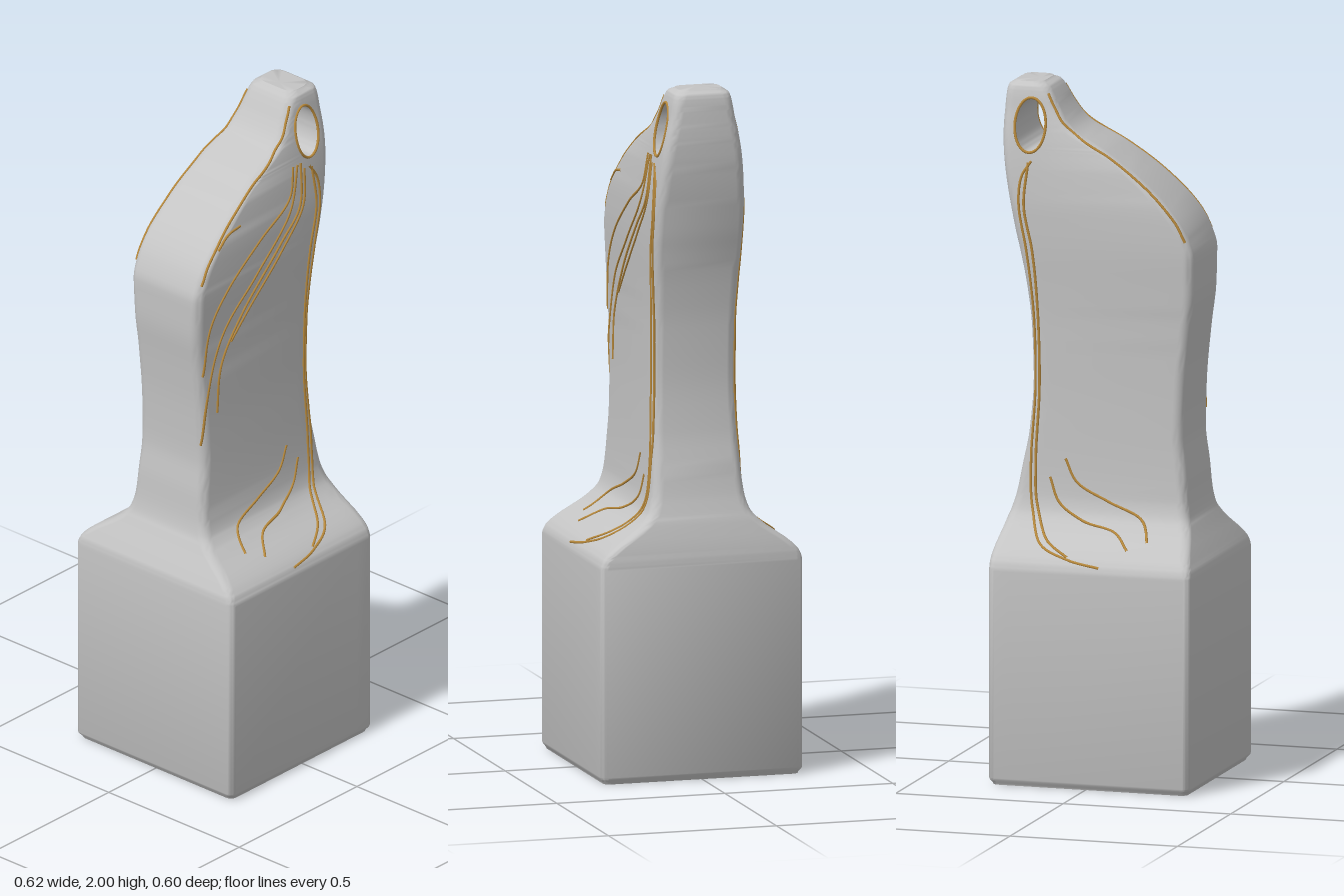
import * as THREE from 'three';
import { toCreasedNormals } from 'three/addons/utils/BufferGeometryUtils.js';

// Profile rows: y, left x, right x, half depth, corner radius
const ROWS = [
  [0, -0.30, 0.28, 0.29, 0.02], [0.02, -0.312, 0.29, 0.30, 0.02], [0.62, -0.312, 0.29, 0.30, 0.02],
  [0.645, -0.309, 0.29, 0.293, 0.022], [0.67, -0.30, 0.289, 0.272, 0.025], [0.74, -0.272, 0.281, 0.178, 0.03],
  [0.775, -0.259, 0.272, 0.15, 0.03], [0.82, -0.252, 0.26, 0.138, 0.03], [0.9, -0.246, 0.245, 0.131, 0.03],
  [1.0, -0.235, 0.226, 0.127, 0.03], [1.15, -0.24, 0.215, 0.124, 0.03], [1.3, -0.254, 0.22, 0.124, 0.03],
  [1.42, -0.267, 0.234, 0.127, 0.03], [1.52, -0.268, 0.253, 0.131, 0.03], [1.58, -0.25, 0.267, 0.132, 0.03],
  [1.635, -0.217, 0.278, 0.132, 0.03], [1.735, -0.115, 0.297, 0.126, 0.03], [1.815, 0.0, 0.307, 0.117, 0.03],
  [1.875, 0.105, 0.31, 0.106, 0.03], [1.92, 0.14, 0.309, 0.096, 0.03], [1.97, 0.168, 0.306, 0.087, 0.03],
  [1.99, 0.182, 0.301, 0.08, 0.03], [2.0, 0.2, 0.285, 0.065, 0.03],
];
const HOLE = { x: 0.224, y: 1.88, rx: 0.044, ry: 0.075 };

// Smooth interpolation of one column without overshoot
function tangent(i, c) {
  if (i === 0 || i === ROWS.length - 1) return 0;
  const s = (k) => (ROWS[k + 1][c] - ROWS[k][c]) / (ROWS[k + 1][0] - ROWS[k][0]);
  const a = s(i - 1), b = s(i);
  return a * b <= 0 ? 0 : (2 * a * b) / (a + b);
}
function profile(y) {
  let i = 0;
  while (i < ROWS.length - 2 && y > ROWS[i + 1][0]) i++;
  const h = ROWS[i + 1][0] - ROWS[i][0], t = (y - ROWS[i][0]) / h, u = 1 - t;
  const [xl, xr, hz, r] = [1, 2, 3, 4].map((c) =>
    (1 + 2 * t) * u * u * ROWS[i][c] + t * u * u * h * tangent(i, c) +
    t * t * (3 - 2 * t) * ROWS[i + 1][c] - t * t * u * h * tangent(i + 1, c));
  return { xl, xr, hz, r };
}

// Front depth of the body surface at x, y
function depthAt(x, y) {
  const { xl, xr, hz, r } = profile(y);
  const d = Math.min(r, Math.max(0, xl + r - x, x - xr + r));
  return hz - r + Math.sqrt(r * r - d * d);
}

// Section half on one side of the hole, running clockwise seen from above
function halfSection(y, side, w) {
  const { xl, xr, hz, r } = profile(y);
  const xs = Math.min(HOLE.x, xr - 0.06) + side * w;
  const edge = side < 0 ? xl + r : xr - r, pts = [[xs, -side * hz]];
  const N = 6;
  for (const corner of [0, 1]) {
    for (let k = 0; k <= N; k++) {
      const a = (corner + k / N) * Math.PI / 2;
      const zc = (corner ? side : -side) * (hz - r);
      pts.push([edge + side * r * Math.sin(a), zc - side * r * Math.cos(a)]);
    }
  }
  pts.push([xs, side * hz]);
  return pts.map(([x, z]) => [x, y, z]);
}

function bodyGeometry() {
  // Levels: dense through the curves, cosine spaced through the hole
  const levels = [];
  const lo = HOLE.y - HOLE.ry, hi = HOLE.y + HOLE.ry;
  ROWS.slice(0, -1).forEach((row, i) => {
    const n = i === 1 ? 1 : 4;
    for (let k = 0; k < n; k++) levels.push(row[0] + (ROWS[i + 1][0] - row[0]) * k / n);
  });
  levels.push(2);
  const ys = levels.filter((y) => y < lo - 0.002 || y > hi + 0.002).map((y) => ({ y, w: 0 }));
  for (let k = 0; k <= 24; k++) {
    const a = Math.PI * k / 24;
    ys.push({ y: HOLE.y - HOLE.ry * Math.cos(a), w: k % 24 ? HOLE.rx * Math.sin(a) : 0 });
  }
  ys.sort((a, b) => a.y - b.y);

  const pos = [];
  for (const side of [-1, 1]) {
    const rows = ys.map(({ y, w }) => halfSection(y, side, w));
    const open = ys.map(({ w }) => w > 0);
    // End caps close onto a centre point
    const collapse = (row) => row.map(() => [row[0][0], row[0][1], 0]);
    rows.unshift(collapse(rows[0]));
    open.unshift(false);
    rows.push(collapse(rows[rows.length - 1]));
    open.push(false);
    for (let i = 0; i < rows.length - 1; i++) {
      const n = rows[i].length, hole = open[i] || open[i + 1];
      for (let j = 0; j < (hole ? n : n - 1); j++) {
        const k = (j + 1) % n;
        const a = rows[i][j], b = rows[i][k], c = rows[i + 1][j], d = rows[i + 1][k];
        pos.push(...a, ...c, ...b, ...b, ...c, ...d);
      }
    }
  }
  const g = new THREE.BufferGeometry();
  g.setAttribute('position', new THREE.Float32BufferAttribute(pos, 3));
  return toCreasedNormals(g, 0.7);
}

// Inlaid line draped over the front (side 1) or back (side -1)
function inlay(points, side, closed = false) {
  const flat = new THREE.CatmullRomCurve3(points.map(([x, y]) => new THREE.Vector3(x, y, 0)), closed);
  const path = flat.getSpacedPoints(closed ? 48 : 60).map((p) => p.setZ(side * depthAt(p.x, p.y)));
  if (closed) path.pop();
  return new THREE.TubeGeometry(new THREE.CatmullRomCurve3(path, closed), 120, 0.004, 6, closed);
}

export function createModel() {
  const stone = new THREE.MeshStandardMaterial({ color: 0xc4c4c4 });
  stone.name = 'pale grey';
  const gold = new THREE.MeshStandardMaterial({ color: 0xb98a3c });
  gold.name = 'gold';

  const model = new THREE.Group();
  model.name = 'carvedHandle';
  const add = (name, geometry, material) => {
    const mesh = new THREE.Mesh(geometry, material);
    mesh.name = name;
    model.add(mesh);
  };
  add('body', bodyGeometry(), stone);

  // Lines on both faces
  const ridge = [1.57, 1.62, 1.68, 1.74, 1.8, 1.85, 1.89, 1.93, 1.97].map((y) => [profile(y).xl + 0.01, y]);
  const ring = Array.from({ length: 20 }, (_, i) => {
    const a = i / 20 * Math.PI * 2;
    return [HOLE.x + (HOLE.rx + 0.002) * Math.cos(a), HOLE.y + (HOLE.ry + 0.002) * Math.sin(a)];
  });
  const shared = {
    ridgeLine: ridge,
    outerStem: [[0.215, 1.78], [0.243, 1.735], [0.25, 1.655], [0.227, 1.52], [0.208, 1.34], [0.203, 1.13],
      [0.213, 0.915], [0.203, 0.78], [0.158, 0.70], [0.06, 0.662], [-0.04, 0.645]],
    innerStem: [[0.225, 1.775], [0.235, 1.65], [0.21, 1.52], [0.195, 1.34], [0.19, 1.13],
      [0.199, 0.915], [0.19, 0.79], [0.145, 0.712], [0.06, 0.667]],
    upperRootCurl: [[0.11, 0.925], [0.075, 0.86], [-0.02, 0.81], [-0.125, 0.765], [-0.16, 0.71]],
    lowerRootCurl: [[0.155, 0.87], [0.125, 0.80], [0.05, 0.755], [-0.055, 0.73], [-0.11, 0.69]],
  };
  for (const [side, label] of [[1, 'front'], [-1, 'back']]) {
    add(label + 'HoleRing', inlay(ring, side, true), gold);
    for (const [name, pts] of Object.entries(shared)) add(`${label} ${name}`, inlay(pts, side), gold);
  }

  // Sweeping strands on the front only
  const strands = [
    [[0.15, 1.8], [0.125, 1.71], [0, 1.63], [-0.14, 1.52], [-0.21, 1.42], [-0.235, 1.275]],
    [[0.168, 1.8], [0.125, 1.67], [-0.02, 1.52], [-0.15, 1.39], [-0.212, 1.23], [-0.232, 1.05]],
    [[0.182, 1.8], [0.165, 1.67], [0.08, 1.58], [-0.07, 1.425], [-0.16, 1.285], [-0.178, 1.14]],
    [[0.195, 1.78], [0.18, 1.67], [0.09, 1.56], [-0.05, 1.42], [-0.12, 1.345]],
    [[-0.085, 1.705], [-0.135, 1.695], [-0.178, 1.66]],
  ];
  strands.forEach((pts, i) => add('frontStrand' + (i + 1), inlay(pts, 1), gold));
  return model;
}
